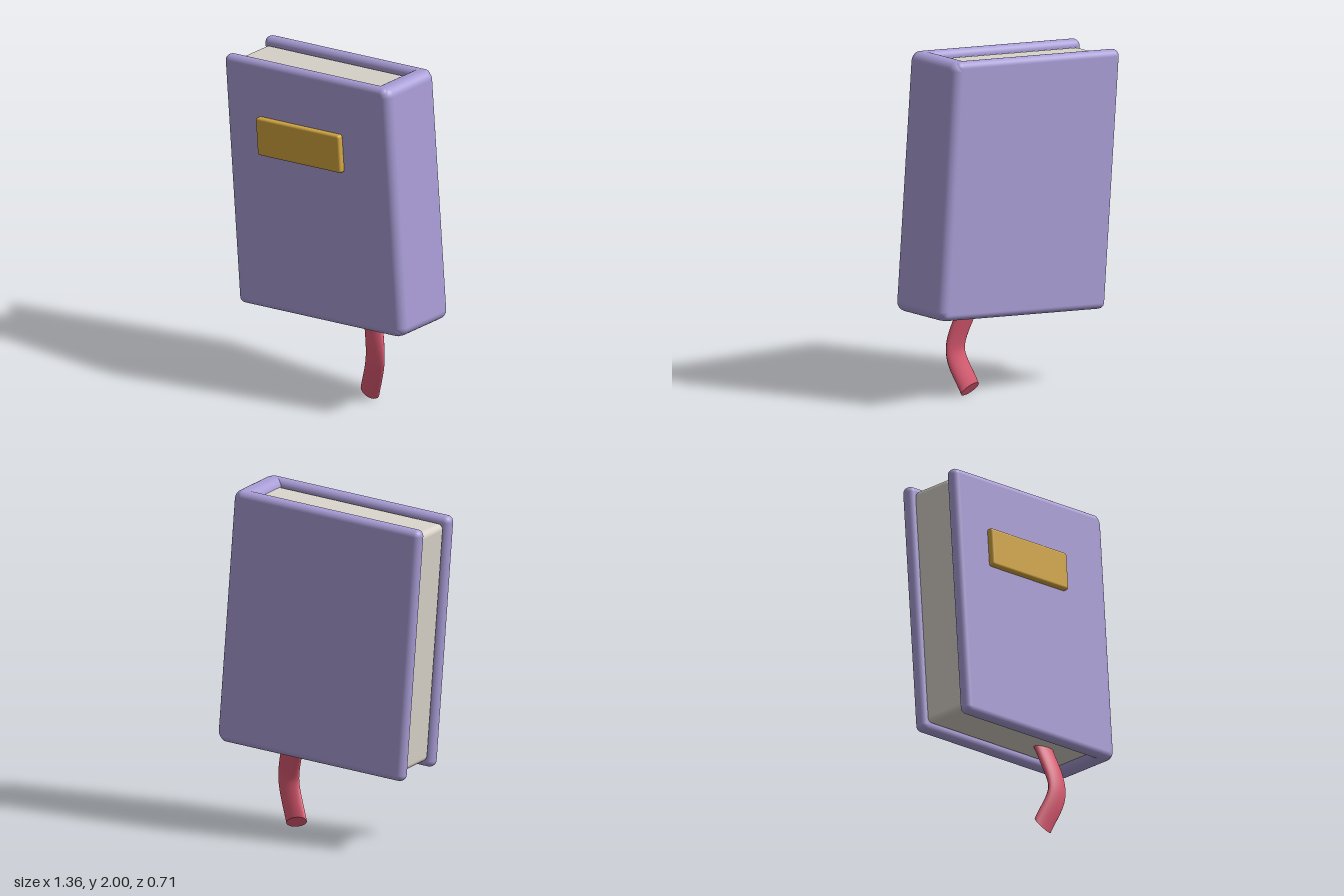
import * as THREE from 'three';
import { RoundedBoxGeometry } from 'three/addons/geometries/RoundedBoxGeometry.js';

const material = (name, color) => {
  const m = new THREE.MeshStandardMaterial({ color });
  m.name = name;
  return m;
};

export function createModel() {
  const purple = material('purple cover', 0xa99dd6);
  const cream = material('cream paper', 0xd9d3ca);
  const gold = material('gold label', 0xd2a540);
  const red = material('red ribbon', 0xdd5a72);

  const model = new THREE.Group();
  model.name = 'book';

  // The whole book leans and turns a little; parts are placed in its own frame
  const book = new THREE.Group();
  book.name = 'tiltedBook';
  book.position.set(0.002, 1.215, -0.007);
  book.rotation.set(0, -0.24, 0.075);
  model.add(book);

  const box = (name, mat, size, radius, position) => {
    const mesh = new THREE.Mesh(new RoundedBoxGeometry(...size, 4, radius), mat);
    mesh.name = name;
    mesh.position.set(...position);
    book.add(mesh);
  };

  // Boards, spine and page block
  const W = 1.21, H = 1.49, D = 0.43, board = 0.08;
  for (const [name, side] of [['frontCover', 1], ['backCover', -1]]) {
    box(name, purple, [W - 0.02, H, board], 0.038, [-0.01, 0, side * (D - board) / 2]);
  }
  box('spine', purple, [0.13, H, D], 0.055, [W / 2 - 0.065, 0, 0]);
  box('pages', cream, [1.11, 1.41, 0.29], 0.035, [-0.022, 0, 0]);

  // Raised title plate on the front cover
  box('labelPlate', gold, [0.615, 0.225, 0.05], 0.015, [-0.057, 0.307, 0.224]);

  // Flattened ribbon hanging out of the pages
  const flat = 0.34, radius = 0.067, sides = 20;
  const path = new THREE.CatmullRomCurve3([
    [0.205, -0.64, -0.01], [0.228, -0.744, 0.018], [0.26, -0.967, 0.058], [0.17, -1.192, 0.016],
  ].map(([x, y, z]) => new THREE.Vector3(x, y, z / flat)));
  const ribbon = new THREE.Group();
  ribbon.name = 'ribbon';
  ribbon.scale.z = flat;
  const strip = new THREE.Mesh(new THREE.TubeGeometry(path, 32, radius, sides), red);
  strip.name = 'ribbonStrip';
  ribbon.add(strip);

  // Discs closing both ends of the ribbon
  for (const [name, t, sign] of [['ribbonTop', 0, -1], ['ribbonTip', 1, 1]]) {
    const cap = new THREE.Mesh(new THREE.CircleGeometry(radius, sides), red);
    cap.name = name;
    cap.position.copy(path.getPointAt(t));
    cap.quaternion.setFromUnitVectors(
      new THREE.Vector3(0, 0, 1), path.getTangentAt(t).multiplyScalar(sign));
    ribbon.add(cap);
  }
  book.add(ribbon);

  return model;
}
